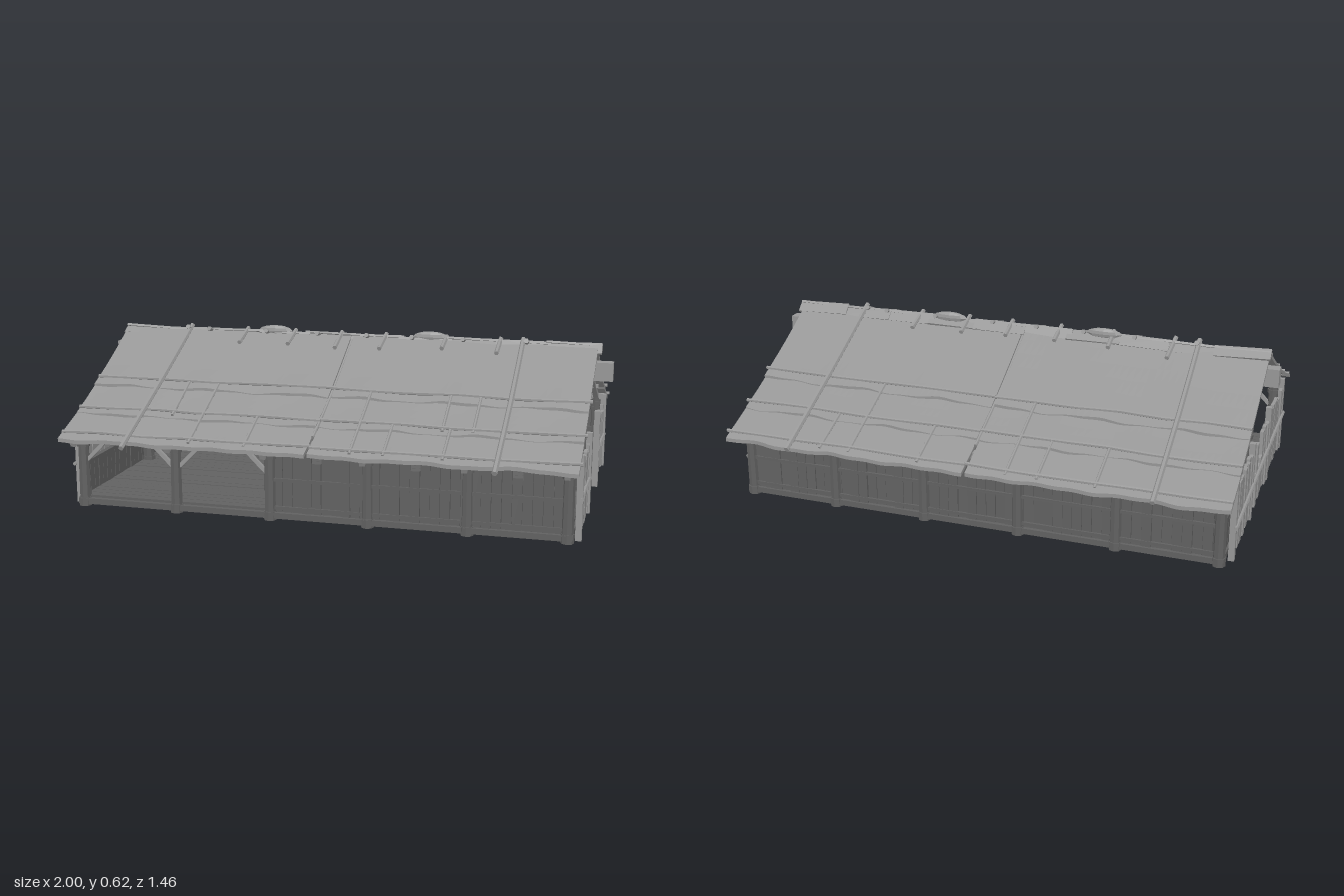
import * as THREE from 'three';

const material = (color) => new THREE.MeshStandardMaterial({ color, flatShading: true });
const darkWood = material(0x616161), greyWood = material(0x979797), thatch = material(0x969696);
const V = (x, y, z) => new THREE.Vector3(x, y, z);

// small seeded generator for hand-made irregularity
let seed = 7;
const rnd = () => (seed = (seed * 16807) % 2147483647) / 2147483647;
const jit = (a) => (rnd() - 0.5) * 2 * a;

const postX = [-0.91, -0.54, -0.175, 0.19, 0.55, 0.9];
const joistZ = [-0.57, -0.19, 0.19, 0.555];
const wallZ = { 1: 0.55, '-1': -0.568 };
// height of the sagging covering at distance s from the ridge
const roofY = (s) => 0.587 - 0.458 * s - 0.02 * Math.sin(Math.PI * Math.min(s / 0.68, 1));

// a group carries the material its parts are made of
function group(parent, name, mat = parent.userData.mat) {
  const g = new THREE.Group();
  g.name = name;
  g.userData.mat = mat;
  parent.add(g);
  return g;
}
function add(parent, name, geo, x = 0, y = 0, z = 0) {
  const m = new THREE.Mesh(geo, parent.userData.mat);
  m.name = name;
  m.position.set(x, y, z);
  parent.add(m);
  return m;
}
function box(parent, name, w, h, d, x, y, z) {
  return add(parent, name, new THREE.BoxGeometry(w, h, d), x, y, z);
}
// square timber between two points
function beam(parent, name, a, b, w) {
  const m = box(parent, name, w, w, a.distanceTo(b), 0, 0, 0);
  m.position.copy(a).add(b).multiplyScalar(0.5);
  m.lookAt(b);
}
// round stick along a few points
function pole(parent, name, pts, r) {
  const curve = new THREE.CatmullRomCurve3(pts);
  add(parent, name, new THREE.TubeGeometry(curve, Math.max(2, (pts.length - 1) * 2), r, 6, false));
  [pts[0], pts[pts.length - 1]].forEach((p, i) => {
    const cap = add(parent, name + 'End', new THREE.CircleGeometry(r, 6));
    cap.position.copy(p);
    const t = curve.getTangent(i);
    cap.lookAt(p.clone().add(i ? t : t.negate()));
  });
}
// round post with lashing rings near foot and head
function post(parent, x, z, y0, y1, r) {
  const g = group(parent, 'post');
  add(g, 'postShaft', new THREE.CylinderGeometry(r * 0.95, r * 1.05, y1 - y0, 8), x, (y0 + y1) / 2, z);
  for (const y of [y0 + 0.02, y1 - 0.045, y1 - 0.022])
    add(g, 'lashing', new THREE.CylinderGeometry(r * 1.2, r * 1.2, 0.015, 8), x, y, z);
}

function buildFloor(root) {
  const g = group(root, 'floor', darkWood);
  for (let i = 0; i < 28; i++)
    box(g, 'floorBoard', 1.83, 0.012, 0.037, -0.005, 0.036 + jit(0.001), -0.547 + i * 0.04);
  for (const x of postX) box(g, 'crossJoist', 0.034, 0.024, 1.14, x, 0.02, -0.008);
  for (const z of joistZ) box(g, 'longJoist', 1.85, 0.022, 0.03, -0.005, 0.022, z);
  for (const x of postX) for (const z of joistZ)
    add(g, 'footing', new THREE.CylinderGeometry(0.024, 0.024, 0.03, 8), x, 0.018, z);
}

// long wall of vertical planks i0..i1; every tenth plank is cut short for a window
function buildLongWall(root, name, side, i0, i1) {
  const g = group(root, name, darkWood);
  const w = 0.0362, z = wallZ[side], x0 = (i0 - 0.5) * w, x1 = (i1 + 0.5) * w;
  for (let i = i0; i <= i1; i++) {
    const open = i >= 0 && i % 10 === 0;
    const top = open ? 0.222 : 0.282;
    const p = box(g, 'plank', w * 0.96, top - 0.03, 0.012, i * w, (top + 0.03) / 2, z + jit(0.004));
    p.rotation.y = jit(0.06);
  }
  for (const y of [0.05, 0.155])
    box(g, 'rail', x1 - x0, 0.012, 0.008, (x0 + x1) / 2, y, z + side * 0.008);
  // low boarding on the inside with a cap rail
  box(g, 'lowBoarding', x1 - x0, 0.11, 0.008, (x0 + x1) / 2, 0.095, z - side * 0.011);
  box(g, 'capRail', x1 - x0, 0.01, 0.016, (x0 + x1) / 2, 0.155, z - side * 0.011);
}

// uneven plank fence across a gable end; height(z) gives the plank top
function buildFence(root, name, x, z0, z1, height) {
  const g = group(root, name, greyWood);
  const n = Math.round((z1 - z0) / 0.034), w = (z1 - z0) / n;
  for (let i = 0; i < n; i++) {
    const z = z0 + (i + 0.5) * w, top = height(z) + jit(0.017), bot = 0.014 + jit(0.006);
    const p = box(g, 'plank', 0.013, top - bot, w * 0.9, x + jit(0.004), (top + bot) / 2, z);
    p.rotation.x = jit(0.025);
  }
  const out = x + Math.sign(x) * 0.012;
  pole(g, 'rail', [V(out, 0.135, z0 - 0.01), V(out, 0.152, (z0 + z1) / 2), V(out, 0.155, z1 + 0.01)], 0.007);
}

// roof sheet that follows the sag, with a ragged lower edge
function sheet(parent, side, x0, x1, s0, s1, lift, phase) {
  const geo = new THREE.BoxGeometry(x1 - x0, 0.014, s1 - s0, 36, 1, 6);
  geo.translate((x0 + x1) / 2, 0, (side * (s0 + s1)) / 2);
  const p = geo.attributes.position;
  for (let i = 0; i < p.count; i++) {
    const x = p.getX(i), s = Math.abs(p.getZ(i)), t = (s - s0) / (s1 - s0);
    const wave = Math.sin(x * 19 + phase) + 0.6 * Math.sin(x * 43 + phase * 2);
    const s2 = s + 0.004 * wave * t;
    p.setXYZ(i, x, p.getY(i) + roofY(s2) + lift + 0.003 * Math.sin(x * 17 + s * 9 + phase) * t, side * s2);
  }
  add(parent, 'roofSheet', geo);
}

function buildRoof(root) {
  const covering = group(root, 'roofCovering', thatch);
  const sticks = group(root, 'roofSticks', greyWood);
  const frame = group(root, 'roofFrame', greyWood);
  const lifts = [0.004, -0.003, -0.009];
  for (const side of [1, -1]) {
    const eave = side > 0 ? 0.655 : 0.687;
    const rows = side > 0 ? [0.295, 0.465, 0.615] : [0.335, 0.495, 0.65];
    [[-0.96, -0.016], [-0.006, 0.94]].forEach(([x0, x1], h) => {
      // overlapping tiers
      const tiers = [[0, rows[0] + 0.04], [rows[0] - 0.04, rows[1] + 0.035], [rows[1] - 0.04, eave]];
      tiers.forEach(([s0, s1], r) => sheet(covering, side, x0, x1, s0, s1, lifts[r], h * 2 + r * 3 + side));
      // slightly crooked battens along each tier
      rows.forEach((s, r) => {
        const pts = [];
        for (let i = 0; i <= 6; i++) {
          const q = s + jit(0.005);
          pts.push(V(x0 + ((x1 - x0 + 0.01) * i) / 6, roofY(q) + lifts[r] + 0.01, side * q));
        }
        pole(sticks, 'batten', pts, 0.007);
      });
    });
    // short sticks running down the slope
    const short = side > 0
      ? [[-0.58, 0, 1], [-0.46, 0, 2], [-0.25, 1, 2], [0.14, 0, 2], [0.26, 1, 2], [0.44, 0, 1], [0.47, 1, 2], [0.55, 0, 1]]
      : [[-0.49, 1, 2], [-0.28, 1, 2], [-0.165, 0, 2], [0.17, 1, 2], [0.44, 0, 2], [0.555, 1, 2]];
    for (const [x, r0, r1] of short) {
      const a = rows[r0] - 0.005, b = rows[r1] + 0.02;
      pole(sticks, 'shortStick', [V(x, roofY(a) + lifts[r0] + 0.007, side * a),
        V(x + 0.003, roofY(b) + lifts[r1] + 0.007, side * b)], 0.006);
    }
    // long straight poles holding the covering down
    for (const x of [side > 0 ? -0.68 : -0.7, 0.665])
      pole(sticks, 'holdDownPole', [V(x - side * 0.008, 0.611, side * -0.02), V(x, 0.449, side * 0.345),
        V(x + side * 0.002, 0.279, side * 0.725)], 0.01);
    // strip over the seam between both halves
    pole(sticks, 'seamPole', [0, 0.15, 0.3, 0.45, 0.56].map((s) => V(-0.011, roofY(s) + 0.002, side * s)), 0.006);
    // rafters, purlins and eave beam below the covering
    for (const x of postX)
      beam(frame, 'rafter', V(x, 0.55, 0), V(x, 0.257, side * 0.64), 0.02);
    for (const s of [0.2, 0.4])
      beam(frame, 'purlin', V(-0.93, roofY(s) - 0.018, side * s), V(0.92, roofY(s) - 0.018, side * s), 0.016);
    box(frame, 'eaveBeam', 1.86, 0.024, 0.024, -0.005, 0.29, wallZ[side]);
  }
  box(frame, 'ridgeBeam', 2, 0.07, 0.045, 0, 0.505, 0);
}

function buildRidgeCap(root) {
  const g = group(root, 'ridgeCap', greyWood);
  // crooked boards leaning against each other along the ridge
  for (const side of [1, -1])
    for (let i = 0; i < 10; i++) {
      const m = box(g, 'ridgeBoard', 0.21, 0.009, 0.05, -0.86 + i * 0.19, 0.587 + jit(0.004), side * 0.014 - 0.006);
      m.rotation.set(side * (0.65 + jit(0.2)), jit(0.03), jit(0.025));
    }
  // flattened bundles on top
  for (const x of [-0.33, 0.3]) {
    const m = add(g, 'ridgeBundle', new THREE.SphereGeometry(1, 8, 6), x, 0.605, -0.01);
    m.scale.set(0.07, 0.022, 0.016);
  }
  // crossed pegs pinning the cap
  [-0.6, -0.45, -0.36, -0.25, -0.15, -0.06, 0.05, 0.12, 0.23, 0.36, 0.43, 0.57].forEach((x, i) => {
    const side = i % 2 ? 1 : -1, s = 0.07 + rnd() * 0.04;
    pole(g, 'peg', [V(x, 0.608, -side * 0.025), V(x + jit(0.006), 0.602 - s * 0.35, side * s)], 0.009);
  });
}

// king post truss at a gable end
function buildTruss(root, x) {
  const g = group(root, 'gableTruss', greyWood);
  const king = group(g, 'kingPost', darkWood);
  post(king, x, 0, 0.03, 0.3, 0.023);
  box(king, 'kingPostUpper', 0.045, 0.28, 0.042, x, 0.42, 0);
  box(g, 'tieBeam', 0.028, 0.026, 0.41, x, 0.457, 0);
  for (const s of [1, -1])
    beam(g, 'strut', V(x, 0.27, s * 0.01), V(x, 0.452, s * 0.175), 0.02);
}

export function createModel() {
  seed = 7;
  const root = new THREE.Group();
  root.name = 'longhouse';
  buildFloor(root);

  // posts along both long sides
  const posts = group(root, 'sidePosts', darkWood);
  for (const x of postX) for (const s of [1, -1]) post(posts, x, wallZ[s] + s * 0.002, 0.008, 0.285, 0.021);

  // walls: the left part of the front stays open
  buildLongWall(root, 'backWall', -1, -25, 24);
  buildLongWall(root, 'frontWall', 1, -4, 24);
  const braces = group(root, 'frontBraces', greyWood);
  [[0, 1], [1, -1], [1, 1], [2, -1]].forEach(([i, d]) =>
    beam(braces, 'brace', V(postX[i] + d * 0.015, 0.18, 0.55), V(postX[i] + d * 0.12, 0.285, 0.55), 0.014));

  // gable fences: doorway on one end, low middle with inner boarding on the other
  buildFence(root, 'leftFenceFront', 0.93, 0.18, 0.53, () => 0.262);
  buildFence(root, 'leftFenceBack', 0.93, -0.53, -0.18, () => 0.262);
  buildFence(root, 'rightFence', -0.945, -0.53, 0.53, (z) =>
    Math.abs(z) > 0.18 || (z > 0.05 && z < 0.16) || (z > -0.09 && z < -0.04) ? 0.262 : 0.155);
  const fencePosts = group(root, 'fencePosts', greyWood);
  for (const x of [0.935, -0.945]) for (const z of [-0.52, -0.185, 0.185, 0.52])
    beam(fencePosts, 'fencePost', V(x, 0.004, z), V(x, 0.31, z), 0.022);
  const inner = group(root, 'innerGableBoarding', darkWood);
  for (let i = 0; i < 30; i++)
    box(inner, 'plank', 0.01, 0.12, 0.034, -0.915 + jit(0.002), 0.1, -0.53 + i * 0.0362);
  box(inner, 'capRail', 0.02, 0.012, 1.08, -0.915, 0.162, -0.005);

  buildTruss(root, 0.88);
  buildTruss(root, -0.89);
  buildRoof(root);
  buildRidgeCap(root);
  return root;
}
